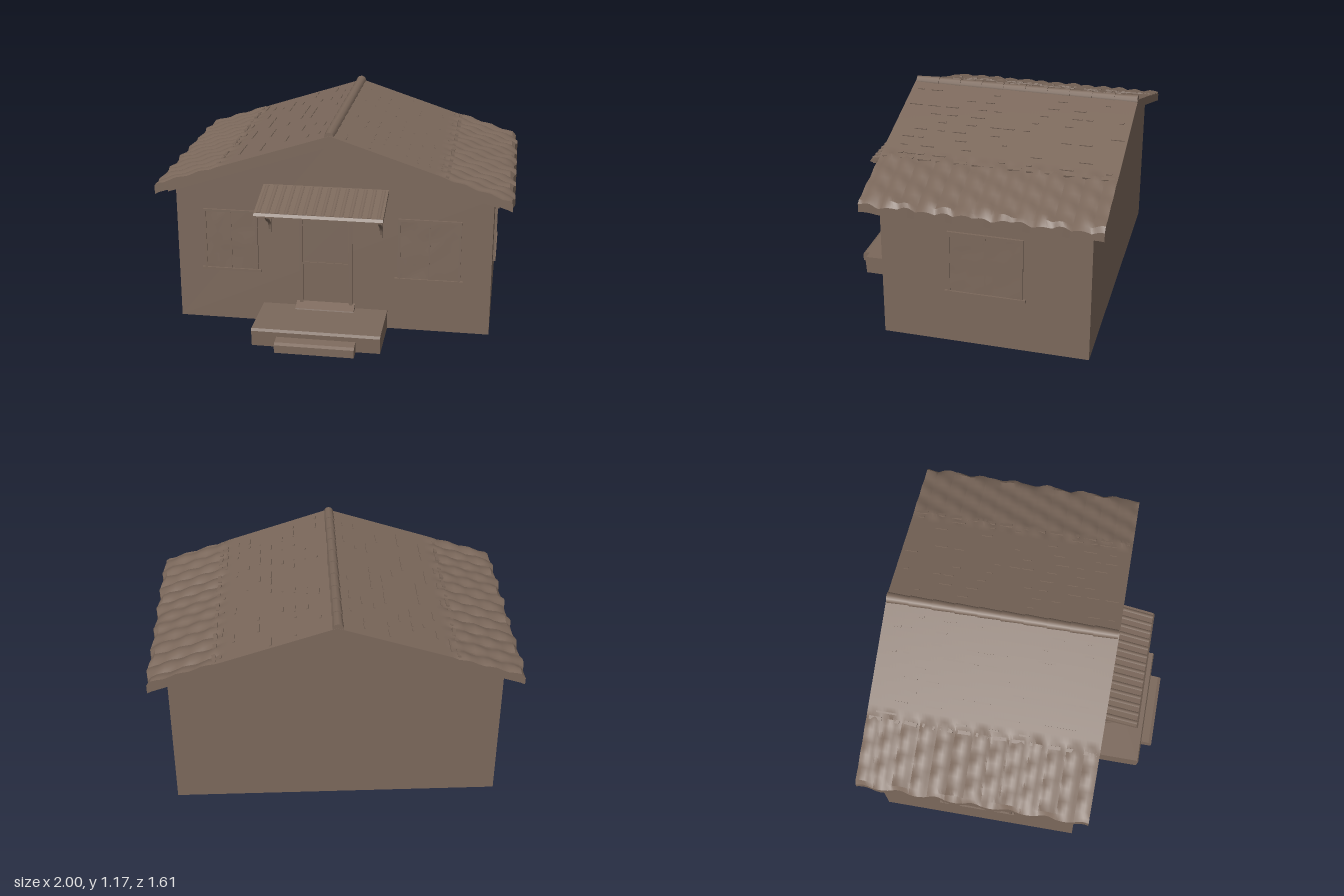
import * as THREE from 'three';
import { mergeGeometries, toCreasedNormals } from 'three/addons/utils/BufferGeometryUtils.js';

const FRONT = 0.41, BACK = -0.73, SIDE = 0.89;

export function createModel() {
  const house = new THREE.Group();
  house.name = 'house';
  const clay = new THREE.MeshStandardMaterial({ color: 0x7b685b });
  clay.name = 'clay brown';

  let seed = 7;
  const rand = () => (seed = (seed * 16807) % 2147483647) / 2147483647;

  const add = (name, geometry, parent = house) => {
    const mesh = new THREE.Mesh(geometry, clay);
    mesh.name = name;
    parent.add(mesh);
    return mesh;
  };
  // Box given by its lower and upper limits on each axis
  const box = (name, x0, x1, y0, y1, z0, z1, parent) => {
    const mesh = add(name, new THREE.BoxGeometry(x1 - x0, y1 - y0, z1 - z0), parent);
    mesh.position.set((x0 + x1) / 2, (y0 + y1) / 2, (z0 + z1) / 2);
    return mesh;
  };
  // Profile drawn in (z, y) and extruded along x
  const profileX = (name, points, x0, x1, parent) => {
    const shape = new THREE.Shape(points.map(([z, y]) => new THREE.Vector2(-z, y)));
    const g = new THREE.ExtrudeGeometry(shape, { depth: x1 - x0, bevelEnabled: false });
    g.rotateY(Math.PI / 2).translate(x0, 0, 0);
    return add(name, g, parent);
  };

  // Walls with gables
  const wall = new THREE.Shape([[-SIDE, 0], [SIDE, 0], [SIDE, 0.81], [0, 1.105], [-SIDE, 0.81]]
    .map(([x, y]) => new THREE.Vector2(x, y)));
  add('walls', new THREE.ExtrudeGeometry(wall, { depth: FRONT - BACK, bevelEnabled: false })
    .translate(0, 0, BACK));

  // Roof: one slab folded at the ridge, with rounded rough tiles along the eaves
  const roofTop = x => 1.148 - 0.325 * Math.abs(x);
  const roof = new THREE.BoxGeometry(2, 0.05, 1.29, 60, 1, 78);
  const p = roof.attributes.position;
  for (let i = 0; i < p.count; i++) {
    let x = p.getX(i);
    const a = Math.abs(x), z = p.getZ(i) - 0.155, top = p.getY(i) > 0;
    let y = top ? roofTop(x) : 1.1 - 0.331 * a;
    if (top && a > 0.63) {
      const wave = Math.abs(Math.sin(z * 31 + (x > 0 ? 0.8 : 0)));
      y += 0.014 * wave - 0.006 + 0.005 * Math.sin(a * 47 + z * 23);
    }
    if (a > 0.99) {
      x -= Math.sign(x) * (0.008 + 0.008 * Math.sin(z * 31));
      if (top) y -= 0.01;
    }
    p.setXYZ(i, x, y, z);
  }
  add('roof', toCreasedNormals(roof, 0.5));

  // Loose tile edges scattered over the smooth part of the roof
  const chips = [];
  for (let i = 0; i < 130; i++) {
    const s = i % 2 ? 1 : -1, x = s * (0.08 + 0.065 * Math.floor(rand() * 9)), z = -0.75 + rand() * 1.19;
    chips.push(new THREE.BoxGeometry(0.01, 0.008, 0.025 + rand() * 0.05)
      .rotateZ(-s * 0.31).translate(x, roofTop(x) + 0.001, z));
  }
  // Raised tile seam where each eave begins
  for (const s of [-1, 1]) {
    for (let i = 0; i < 13; i++) {
      chips.push(new THREE.BoxGeometry(0.02, 0.012, 0.07)
        .rotateZ(-s * 0.31).rotateY((rand() - 0.5) * 0.25)
        .translate(s * 0.635, roofTop(0.635), -0.75 + i * 0.099));
    }
  }
  add('tileEdges', mergeGeometries(chips));

  // Ridge cap: overlapping rounded tiles
  for (let i = 0; i < 10; i++) {
    const cap = add('ridgeTile', new THREE.CylinderGeometry(0.026, 0.031, 0.135, 10));
    cap.rotation.x = Math.PI / 2;
    cap.position.set(-0.005, 1.141, -0.7305 + i * 0.1275);
  }

  // Verge boards under the roof at the front gable
  for (const s of [-1, 1]) {
    const board = add('vergeBoard', new THREE.BoxGeometry(0.97, 0.025, 0.03));
    board.rotation.z = -s * 0.32;
    board.position.set(s * 0.46, 0.945, 0.455);
  }

  // Window facing +z, centred on its own origin at sill height
  const makeWindow = (name, w) => {
    const g = new THREE.Group(), h = 0.36, hw = w / 2, f = 0.014;
    g.name = name;
    // Rough pane, gently uneven
    const pane = new THREE.PlaneGeometry(w, h, 8, 8).translate(0, h / 2, 0.005);
    const v = pane.attributes.position;
    for (let i = 0; i < v.count; i++) v.setZ(i, 0.004 + rand() * 0.004);
    pane.computeVertexNormals();
    add('pane', pane, g);
    box('leftFrame', -hw, -hw + f, 0, h, 0, 0.012, g);
    box('rightFrame', hw - f, hw, 0, h, 0, 0.012, g);
    box('topFrame', -hw, hw, h - f, h, 0, 0.012, g);
    box('mullion', -0.004, 0.004, 0, h, 0, 0.009, g);
    box('sill', -hw - 0.016, hw + 0.016, -0.006, 0.008, 0, 0.016, g);
    house.add(g);
    return g;
  };
  makeWindow('frontRightWindow', 0.31).position.set(-0.58, 0.31, FRONT);
  makeWindow('frontLeftWindow', 0.35).position.set(0.545, 0.31, FRONT);
  for (const s of [-1, 1]) {
    const win = makeWindow(s > 0 ? 'leftSideWindow' : 'rightSideWindow', 0.41);
    win.position.set(s * SIDE, 0.31, -0.163);
    win.rotation.y = s * Math.PI / 2;
  }

  // Door with frame, two panels and threshold
  const door = new THREE.Group();
  door.name = 'door';
  house.add(door);
  box('doorRightJamb', -0.185, -0.167, 0.11, 0.68, 0.4, 0.424, door);
  box('doorLeftJamb', 0.097, 0.115, 0.11, 0.68, 0.4, 0.424, door);
  box('doorHead', -0.185, 0.115, 0.662, 0.68, 0.4, 0.424, door);
  box('lowerPanel', -0.16, 0.09, 0.15, 0.38, 0.4, 0.416, door);
  box('upperPanel', -0.16, 0.09, 0.392, 0.655, 0.4, 0.416, door);
  profileX('threshold', [[0.4, 0.1], [0.475, 0.1], [0.47, 0.115], [0.41, 0.138], [0.4, 0.138]], -0.205, 0.13, door);

  // Porch slab and lower step
  profileX('porch', [[0.4, 0], [0.735, 0], [0.742, 0.09], [0.735, 0.105], [0.4, 0.11]], -0.4, 0.315);
  profileX('step', [[0.7, 0], [0.808, 0], [0.808, 0.045], [0.79, 0.055], [0.7, 0.07]], -0.26, 0.18);

  // Door canopy with ribbed front lip
  profileX('canopy', [[0.4, 0.815], [0.665, 0.737], [0.68, 0.742], [0.67, 0.757], [0.4, 0.836]], -0.385, 0.315);
  for (let i = 0; i < 14; i++) {
    const tile = add('canopyTile', new THREE.CylinderGeometry(0.012, 0.012, 0.26, 6));
    tile.scale.z = 0.5;
    tile.rotation.x = Math.PI / 2 + 0.284;
    tile.position.set(-0.36 + i * 0.05, 0.793, 0.545);
  }
  box('canopyFrontRail', -0.375, 0.305, 0.728, 0.742, 0.645, 0.665);

  // Curved brackets holding the canopy
  for (const x of [-0.355, 0.275]) {
    const curve = new THREE.CatmullRomCurve3([[0.41, 0.56], [0.425, 0.615], [0.48, 0.65], [0.53, 0.69], [0.595, 0.735]]
      .map(([z, y]) => new THREE.Vector3(x, y, z)));
    add('bracketBrace', new THREE.TubeGeometry(curve, 14, 0.009, 6));
    box('bracketArm', x - 0.009, x + 0.009, 0.728, 0.742, 0.4, 0.66);
    box('bracketPlate', x - 0.009, x + 0.009, 0.55, 0.735, 0.405, 0.42);
  }

  return house;
}
